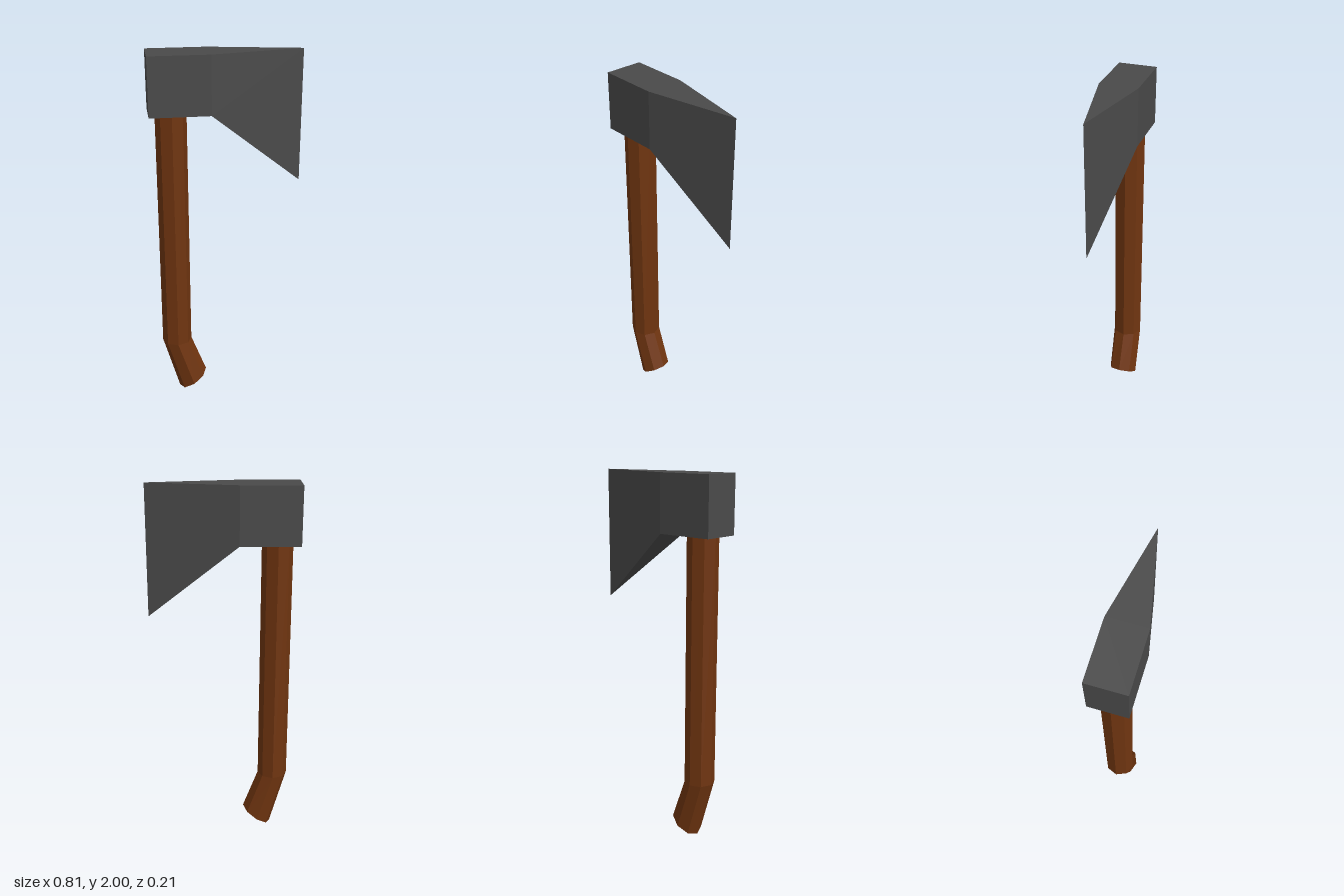
import * as THREE from 'three';

const flat = (color) => new THREE.MeshStandardMaterial({ color, flatShading: true });

// Move every vertex of a geometry by a rule
function reshape(geometry, rule) {
  const p = geometry.attributes.position;
  for (let i = 0; i < p.count; i++) {
    p.setXYZ(i, ...rule(p.getX(i), p.getY(i), p.getZ(i)));
  }
  geometry.computeVertexNormals();
  return geometry;
}

// Axe head: block that tapers to a flared, sharp edge at +x
function makeHead() {
  const stations = [
    { x: -0.405, bottom: 1.69, half: 0.103 },
    { x: -0.085, bottom: 1.69, half: 0.103 },
    { x: 0.405, bottom: 1.285, half: 0 },
  ];
  const geometry = reshape(new THREE.BoxGeometry(2, 2, 2, 2, 1, 1), (x, y, z) => {
    const s = stations[Math.round(x) + 1];
    return [s.x, y > 0 ? 2 : s.bottom, z * s.half];
  });
  const mesh = new THREE.Mesh(geometry, flat(0x4a4a4a));
  mesh.name = 'axeHead';
  return mesh;
}

// Octagonal handle: straight shaft with a kinked, slanted grip end
function makeHandle() {
  const radius = 0.083;
  const rings = [
    { x: -0.199, y: 0.052, rx: 0.079, slant: 0.052 },
    { x: -0.287, y: 0.33, rx: radius, slant: 0 },
    { x: -0.287, y: 1.7, rx: radius, slant: 0 },
  ];
  const geometry = reshape(new THREE.CylinderGeometry(1, 1, 2, 8, 2), (x, y, z) => {
    const r = rings[Math.round(y) + 1];
    return [r.x + x * r.rx, r.y + x * r.slant, z * radius];
  });
  const mesh = new THREE.Mesh(geometry, flat(0x703510));
  mesh.name = 'handle';
  return mesh;
}

export function createModel() {
  const axe = new THREE.Group();
  axe.name = 'axe';
  axe.add(makeHead(), makeHandle());
  return axe;
}
